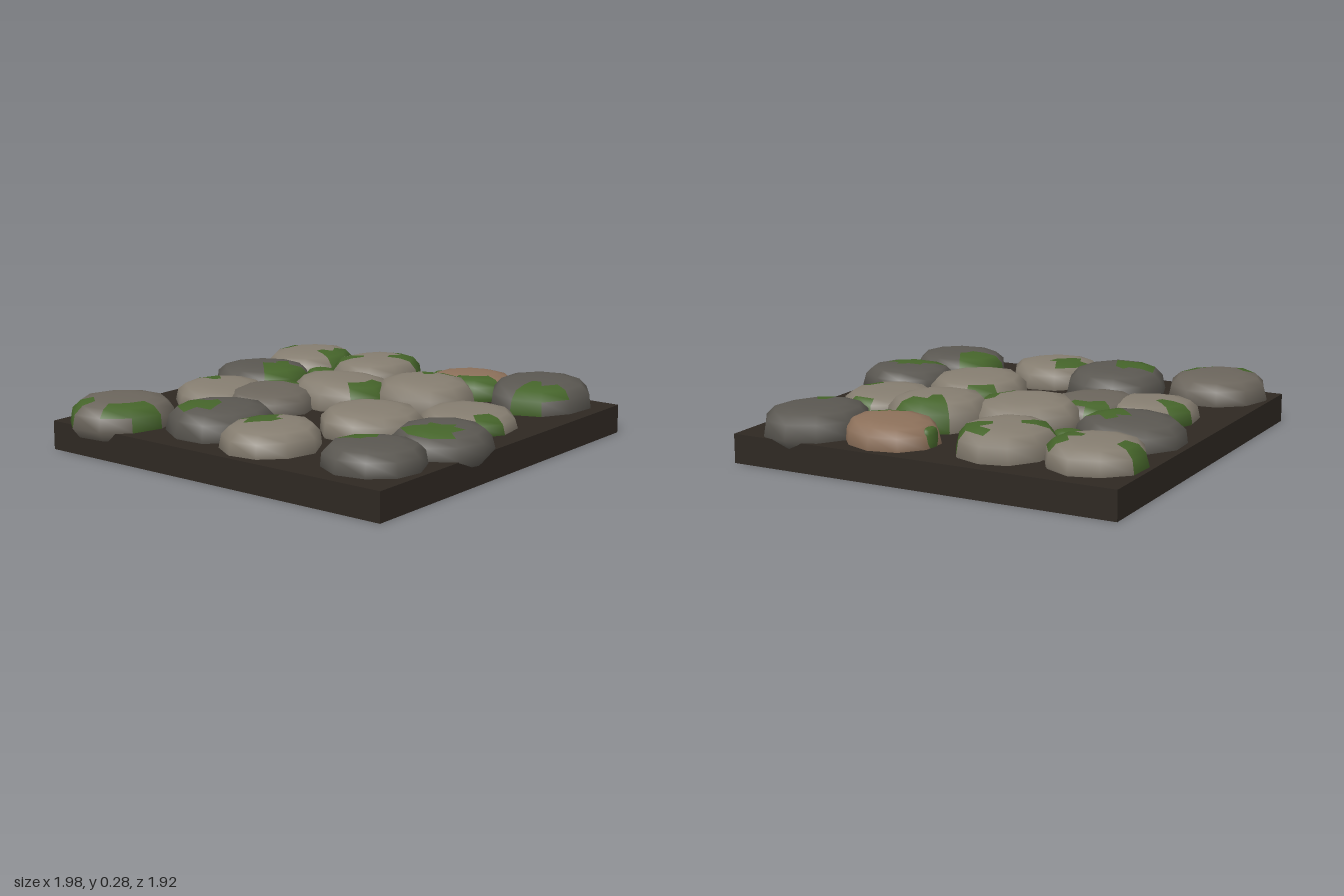
import * as THREE from 'three';

const material = (color) => new THREE.MeshStandardMaterial({ color, roughness: 0.95 });
const LIGHT = material(0x857d70), MID = material(0x6b655c), DARK = material(0x5a5751);
const BROWN = material(0x8c705a), MOSS = material(0x45642a), EARTH = material(0x2e2822);

// Small seeded generator, so the stones are the same every time
function seeded(seed) {
  let s = seed * 7919 + 17;
  return () => (s = (s * 16807) % 2147483647) / 2147483647;
}

// Stone cross-section from underside to crown: [radius factor, height factor]
const PROFILE = [[0.5, -0.85], [0.87, -0.5], [1, 0], [0.95, 0.55], [0.8, 0.86], [0.55, 0.97], [0.28, 1]];
const SIDES = 10, RIM_Y = 0.14;

// Flattened, slightly irregular stone; quads close to a moss spot go into a second mesh
function cobble({ name, x, z, rx, rz, top, mat, moss = [], seed, rim = RIM_Y }) {
  const random = seeded(seed);
  random();
  const turn = random() * Math.PI;
  const outline = Array.from({ length: SIDES }, () => 0.97 + random() * 0.07);
  const leanX = (random() - 0.5) * 0.06, leanZ = (random() - 0.5) * 0.06;
  const h = top - rim, drop = Math.min(0.09, h);
  const points = [];
  const add = (px, py, pz) => points.push(new THREE.Vector3(x + px, rim + py + px * leanX + pz * leanZ, z + pz));

  for (const [r, f] of PROFILE) {
    for (let i = 0; i < SIDES; i++) {
      const a = turn + (i / SIDES) * Math.PI * 2;
      const k = r * outline[i] * (0.985 + random() * 0.03);
      add(Math.cos(a) * rx * k, f * (f < 0 ? drop : h), Math.sin(a) * rz * k);
    }
  }
  add(0, -drop, 0);
  add(0, h, 0);
  const bottom = points.length - 2, crown = points.length - 1;

  const rock = [], green = [];
  const place = (corners, faces) => {
    const c = new THREE.Vector3();
    corners.forEach((n) => c.add(points[n]));
    c.divideScalar(corners.length);
    const mossy = c.y > rim - 0.03 && moss.some(([mx, mz, mr = 0.085]) => Math.hypot(c.x - mx, c.z - mz) < mr);
    (mossy ? green : rock).push(...faces);
  };
  for (let i = 0; i < SIDES; i++) {
    const j = (i + 1) % SIDES;
    place([i, j, bottom], [i, j, bottom]);
    for (let k = 0; k < PROFILE.length - 1; k++) {
      const a = k * SIDES + i, b = k * SIDES + j, c = a + SIDES, d = b + SIDES;
      place([a, b, c, d], [a, c, d, a, d, b]);
    }
    const last = (PROFILE.length - 1) * SIDES;
    place([last + i, last + j, crown], [last + i, crown, last + j]);
  }

  // Normals are worked out on the whole stone, so shading runs on under the moss
  const whole = new THREE.BufferGeometry().setFromPoints(points);
  whole.setIndex([...rock, ...green]);
  whole.computeVertexNormals();
  const group = new THREE.Group();
  group.name = name;
  for (const [part, index, m] of [['stone', rock, mat], ['mossPatch', green, MOSS]]) {
    if (!index.length) continue;
    const geometry = whole.clone();
    geometry.setIndex(index);
    const mesh = new THREE.Mesh(geometry, m);
    mesh.name = part;
    group.add(mesh);
  }
  return group;
}

// x, z, radius x, radius z, top height, material, moss spots [x, z, radius]
const STONES = [
  [-0.74, -0.71, 0.25, 0.24, 0.255, MID, [[-0.9, -0.84], [-0.83, -0.55]]],
  [-0.165, -0.61, 0.22, 0.22, 0.235, LIGHT, [[-0.11, -0.75]]],
  [0.235, -0.7, 0.225, 0.25, 0.25, DARK, [[0.22, -0.56, 0.11]]],
  [0.645, -0.725, 0.23, 0.225, 0.25, LIGHT, [[0.65, -0.93], [0.66, -0.56]]],
  [-0.58, -0.24, 0.255, 0.245, 0.265, DARK, [[-0.66, -0.32, 0.1]]],
  [-0.1, -0.36, 0.24, 0.21, 0.235, MID, [[0.07, -0.43]]],
  [0.19, -0.15, 0.23, 0.265, 0.265, LIGHT, [[0.14, 0.05]]],
  [0.645, -0.305, 0.25, 0.215, 0.265, LIGHT, [[0.55, -0.45, 0.09], [0.75, -0.18, 0.09]]],
  [-0.66, 0.12, 0.23, 0.22, 0.25, LIGHT, [[-0.63, 0.04]]],
  [-0.175, 0.3, 0.25, 0.245, 0.255, LIGHT, [[0.05, 0.2, 0.06]]],
  [0.35, 0.21, 0.24, 0.235, 0.28, LIGHT, [[0.52, 0.16, 0.1]]],
  [0.725, 0.225, 0.195, 0.22, 0.245, BROWN, [[0.57, 0.32]]],
  [-0.635, 0.66, 0.215, 0.23, 0.245, DARK, [[-0.57, 0.51, 0.09]]],
  [-0.24, 0.725, 0.22, 0.225, 0.245, DARK, [[-0.32, 0.73, 0.1]]],
  [0.17, 0.585, 0.23, 0.22, 0.22, LIGHT, [[0.36, 0.67, 0.07], [0.09, 0.78, 0.07]]],
  [0.73, 0.615, 0.26, 0.235, 0.265, DARK, [[0.56, 0.69, 0.1]]],
];

// Small clumps of moss in the gaps: x, z, radius x, radius z, top height
const CLUMPS = [[0.45, -0.5, 0.07, 0.075, 0.21], [0.73, 0.03, 0.05, 0.03, 0.22]];

export function createModel() {
  const model = new THREE.Group();
  model.name = 'cobblestonePaving';

  // Earth slab
  const slab = new THREE.Mesh(new THREE.BoxGeometry(1.88, 0.135, 1.88), EARTH);
  slab.name = 'earthSlab';
  slab.position.set(0.015, 0.0675, -0.03);
  model.add(slab);

  // Cobblestones
  STONES.forEach(([x, z, rx, rz, top, mat, moss], i) => {
    model.add(cobble({ name: `cobblestone${i + 1}`, x, z, rx, rz, top, mat, moss, seed: i + 1 }));
  });

  // Moss clumps
  CLUMPS.forEach(([x, z, rx, rz, top], i) => {
    model.add(cobble({ name: `mossClump${i + 1}`, x, z, rx, rz, top, mat: MOSS, seed: 40 + i, rim: 0.16 }));
  });

  return model;
}
